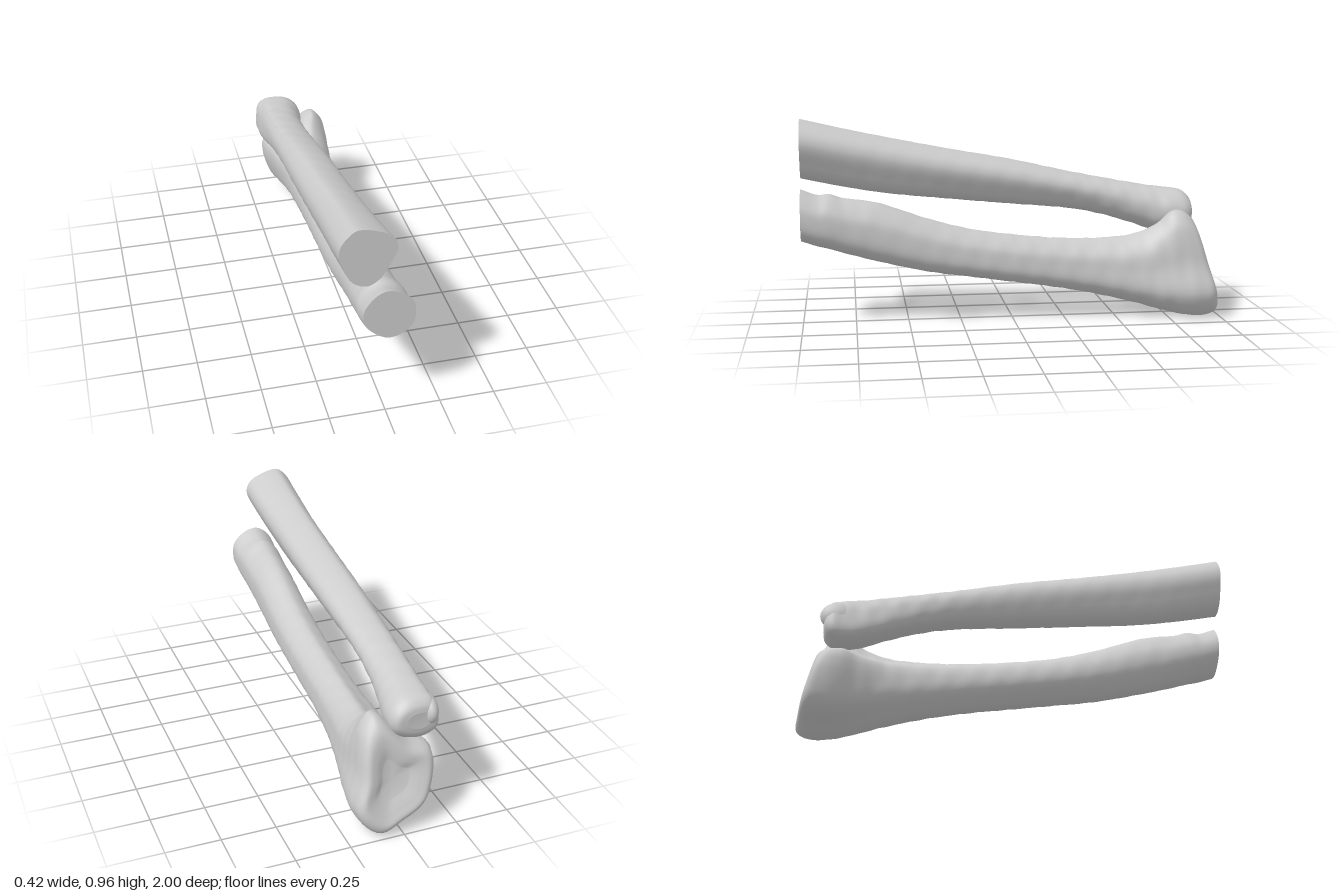
import * as THREE from 'three';

const SIDES = 48;   // points around each bone
const STEPS = 9;    // rings between two sections

// Smooth closed outline, scaled to fill -1..1 in x and y
function unitOutline(points) {
  const curve = new THREE.CatmullRomCurve3(points.map(([x, y]) => new THREE.Vector3(x, y, 0)), true);
  const pts = Array.from({ length: SIDES }, (_, k) => curve.getPoint(k / SIDES));
  const box = new THREE.Box3().setFromPoints(pts);
  const mid = box.getCenter(new THREE.Vector3());
  const half = box.getSize(new THREE.Vector3()).multiplyScalar(0.5);
  return pts.map(p => [(p.x - mid.x) / half.x, (p.y - mid.y) / half.y]);
}

// Sections run front to back: [z, xMin, xMax, yMin, yMax, blend from outline A to B, tilt]
function makeBone(outlineA, outlineB, sections, endCentre, material) {
  const a = unitOutline(outlineA), b = unitOutline(outlineB);
  const ringCount = (sections.length - 1) * STEPS + 1;
  const positions = new Float32Array((ringCount * SIDES + 1) * 3);
  const rim = [];
  for (let k = 0; k < SIDES; k++) {
    // One lengthwise spline per point of the outline
    const column = new THREE.CatmullRomCurve3(sections.map(([z, x0, x1, y0, y1, w, tilt = 0]) => {
      const u = THREE.MathUtils.lerp(a[k][0], b[k][0], w);
      const v = THREE.MathUtils.lerp(a[k][1], b[k][1], w);
      const y = (y0 + y1) / 2 + v * (y1 - y0) / 2;
      return new THREE.Vector3((x0 + x1) / 2 + u * (x1 - x0) / 2, y, z + tilt * (y - 0.25));
    }));
    const angle = k / SIDES * Math.PI * 2;
    for (let i = 0; i < ringCount; i++) {
      const t = i / (ringCount - 1);
      const p = column.getPoint(t);
      // Faint slanting ripples of the bone surface, fading out at both ends
      const ripple = 0.0008 * Math.sin(Math.PI * t)
        * (Math.sin(p.z * 83 + 2 * angle) + Math.sin(p.z * 51 - 3 * angle + 1));
      p.x += Math.sin(angle) * ripple;
      p.y += Math.cos(angle) * ripple;
      p.toArray(positions, (i * SIDES + k) * 3);
      if (i === 0) rim.push(new THREE.Vector2(p.x, p.y));
    }
  }
  positions.set(endCentre, ringCount * SIDES * 3);

  const index = [];
  for (let k = 0; k < SIDES; k++) {
    const n = (k + 1) % SIDES;
    for (let i = 0; i < ringCount - 1; i++) {
      const p = i * SIDES, q = p + SIDES;
      index.push(p + k, p + n, q + k, p + n, q + n, q + k);
    }
    const last = (ringCount - 1) * SIDES;
    index.push(last + k, last + n, ringCount * SIDES);
  }
  const geometry = new THREE.BufferGeometry();
  geometry.setAttribute('position', new THREE.BufferAttribute(positions, 3));
  geometry.setIndex(index);
  geometry.computeVertexNormals();

  const group = new THREE.Group();
  const shaft = new THREE.Mesh(geometry, material);
  shaft.name = 'shaft';
  // Flat sawn face at the front
  const cut = new THREE.Mesh(new THREE.ShapeGeometry(new THREE.Shape(rim)), material);
  cut.name = 'cutFace';
  cut.position.z = sections[0][0];
  group.add(shaft, cut);
  return group;
}

export function createModel() {
  const model = new THREE.Group();
  model.name = 'forearmBones';
  const material = new THREE.MeshStandardMaterial({ color: 0xcccccc });

  // Upper bone: teardrop shaft that rounds off into a small head
  const teardrop = [[-0.13, 0.96], [-0.05, 0.945], [0.02, 0.905], [0.037, 0.85], [0, 0.765], [-0.035, 0.71],
    [-0.09, 0.68], [-0.155, 0.71], [-0.193, 0.785], [-0.21, 0.84], [-0.203, 0.89], [-0.165, 0.94]];
  const head = [[-0.12, 0.6], [-0.05, 0.59], [0, 0.55], [0.02, 0.5], [0.01, 0.44], [-0.04, 0.395],
    [-0.13, 0.377], [-0.19, 0.4], [-0.212, 0.43], [-0.212, 0.5], [-0.2, 0.55], [-0.17, 0.59]];
  const upper = makeBone(teardrop, head, [
    [1, -0.21, 0.035, 0.68, 0.96, 0],
    [0.8, -0.207, 0.025, 0.637, 0.913, 0],
    [0.6, -0.203, 0.015, 0.602, 0.87, 0.03],
    [0.3, -0.207, 0.005, 0.568, 0.81, 0.1],
    [0, -0.21, -0.005, 0.537, 0.755, 0.2],
    [-0.3, -0.21, -0.018, 0.507, 0.688, 0.35],
    [-0.45, -0.21, -0.02, 0.477, 0.658, 0.55],
    [-0.6, -0.21, -0.013, 0.432, 0.63, 0.8],
    [-0.72, -0.21, 0.005, 0.392, 0.61, 1],
    [-0.81, -0.21, 0.02, 0.378, 0.6, 1],
    [-0.86, -0.208, 0.015, 0.39, 0.588, 1],
    [-0.889, -0.19, -0.005, 0.42, 0.56, 1],
    [-0.897, -0.15, -0.05, 0.455, 0.53, 1],
  ], [-0.1, 0.49, -0.893], material);
  upper.name = 'upperBone';

  // Blunt knob on the outer corner of the head
  const knob = new THREE.Mesh(new THREE.SphereGeometry(1, 24, 16), material);
  knob.name = 'headKnob';
  knob.scale.set(0.045, 0.07, 0.09);
  knob.position.set(-0.163, 0.51, -0.825);
  upper.add(knob);

  // Lower bone: round shaft flaring into a wide, slanted, hollowed end
  const round = [[0, 0.64], [0.06, 0.62], [0.11, 0.57], [0.12, 0.52], [0.11, 0.45], [0.06, 0.405],
    [0, 0.395], [-0.06, 0.43], [-0.1, 0.48], [-0.105, 0.54], [-0.08, 0.59], [-0.04, 0.628]];
  const flare = [[0.07, 0.52], [0.13, 0.46], [0.153, 0.38], [0.168, 0.26], [0.205, 0.13], [0.17, 0.05],
    [0.1, 0], [0, 0.037], [-0.105, 0.088], [-0.152, 0.15], [-0.178, 0.34], [-0.06, 0.395]];
  const lower = makeBone(round, flare, [
    [1, -0.105, 0.122, 0.397, 0.64, 0],
    [0.92, -0.105, 0.12, 0.37, 0.612, 0],
    [0.87, -0.105, 0.118, 0.357, 0.615, 0],
    [0.8, -0.103, 0.113, 0.335, 0.595, 0],
    [0.65, -0.1, 0.11, 0.293, 0.572, 0.02],
    [0.4, -0.1, 0.11, 0.235, 0.488, 0.08],
    [0.2, -0.1, 0.11, 0.205, 0.435, 0.12],
    [0, -0.1, 0.11, 0.175, 0.405, 0.16],
    [-0.2, -0.1, 0.112, 0.145, 0.385, 0.2],
    [-0.4, -0.105, 0.127, 0.108, 0.38, 0.28],
    [-0.6, -0.12, 0.16, 0.06, 0.402, 0.45, 0.02],
    [-0.72, -0.148, 0.187, 0.024, 0.455, 0.75, 0.08],
    [-0.82, -0.176, 0.203, 0.002, 0.517, 1, 0.18],
    [-0.88, -0.179, 0.203, 0.003, 0.515, 1, 0.25],
    [-0.922, -0.168, 0.193, 0.022, 0.49, 1, 0.28],
    [-0.94, -0.145, 0.17, 0.05, 0.455, 1, 0.29],
    [-0.935, -0.1, 0.13, 0.095, 0.395, 1, 0.28],
    [-0.918, -0.05, 0.085, 0.16, 0.33, 1, 0.27],
  ], [0.025, 0.24, -0.91], material);
  lower.name = 'lowerBone';

  model.add(upper, lower);
  return model;
}
